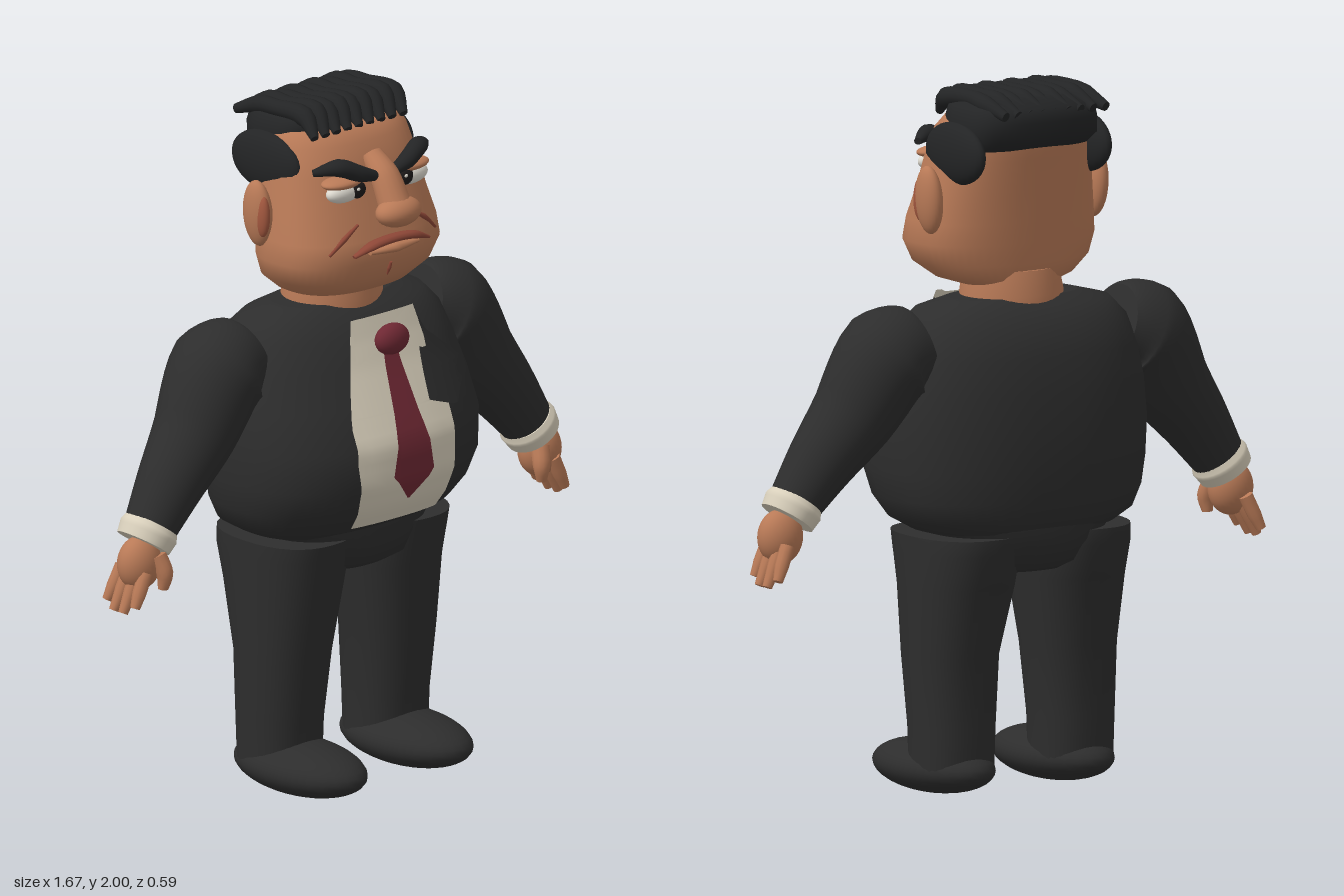
import * as THREE from 'three';

const mat = (name, color, side = THREE.FrontSide) => {
  const m = new THREE.MeshStandardMaterial({ color, side });
  m.name = name;
  return m;
};
const M = {
  suit: mat('charcoal suit', 0x2d2d2d, THREE.DoubleSide),
  skin: mat('tan skin', 0xb97a57),
  hair: mat('black hair', 0x232425),
  shirt: mat('cream shirt', 0xd8cfbb, THREE.DoubleSide),
  tie: mat('maroon tie', 0x6e2833, THREE.DoubleSide),
  lip: mat('red brown lip', 0x8e4737),
  ear: mat('inner ear', 0xa3583f),
  white: mat('eye white', 0xdedad0),
  iris: mat('dark iris', 0x1d1a1a),
};

// Closed skin over a list of rings, with flat end caps
function skinRings(rings) {
  const n = rings[0].length, pos = [], idx = [];
  const add = (p) => pos.push(p.x, p.y, p.z) / 3 - 1;
  rings.forEach((r) => r.forEach(add));
  for (let i = 0; i < rings.length - 1; i++) {
    for (let j = 0; j < n; j++) {
      const a = i * n + j, b = i * n + (j + 1) % n;
      idx.push(a, a + n, b, b, a + n, b + n);
    }
  }
  [rings[0], rings[rings.length - 1]].forEach((r, top) => {
    const mid = r.reduce((s, p) => s.add(p), new THREE.Vector3()).divideScalar(n);
    const o = add(mid), first = o + 1;
    r.forEach(add);
    for (let j = 0; j < n; j++) {
      const a = first + j, b = first + (j + 1) % n;
      if (top) idx.push(o, b, a); else idx.push(o, a, b);
    }
  });
  return finish(pos, idx);
}
function finish(pos, idx) {
  const g = new THREE.BufferGeometry();
  g.setAttribute('position', new THREE.Float32BufferAttribute(pos, 3));
  g.setIndex(idx);
  g.computeVertexNormals();
  return g;
}

// Upright body from rows [y, half width, front z, back z, centre x]
function loft(rows, p = 2.5, n = 48) {
  const bend = (v) => Math.sign(v) * Math.abs(v) ** (2 / p);
  return skinRings(rows.map(([y, rx, zf, zb, cx = 0]) => Array.from({ length: n }, (_, j) => {
    const a = j / n * Math.PI * 2;
    return new THREE.Vector3(cx + rx * bend(Math.cos(a)), y, (zf + zb) / 2 + (zf - zb) / 2 * bend(Math.sin(a)));
  })));
}
// Front z of such a body at (x, y)
function frontZ(rows, x, y, p = 2.5) {
  let i = 0;
  while (i < rows.length - 2 && y > rows[i + 1][0]) i++;
  const t = (y - rows[i][0]) / (rows[i + 1][0] - rows[i][0]);
  const [, rx, zf, zb] = rows[i].map((v, k) => v + (rows[i + 1][k] - v) * t);
  return (zf + zb) / 2 + (zf - zb) / 2 * Math.max(0, 1 - Math.abs(x / rx) ** p) ** (1 / p);
}
// Tapered tube through points; wide scales it along ref
function sweep(points, radii, { wide = 1, ref = [0, 0, 1], n = 16, steps = 16 } = {}) {
  const curve = new THREE.CatmullRomCurve3(points.map((q) => new THREE.Vector3(...q)));
  const up = new THREE.Vector3(...ref), rings = [];
  for (let i = 0; i <= steps; i++) {
    const t = i / steps, f = t * (radii.length - 1), k = Math.min(Math.floor(f), radii.length - 2);
    const r = radii[k] + (radii[k + 1] - radii[k]) * (f - k);
    const c = curve.getPoint(t), T = curve.getTangent(t);
    const side = T.clone().cross(up).normalize(), other = side.clone().cross(T);
    rings.push(Array.from({ length: n }, (_, j) => {
      const a = j / n * Math.PI * 2;
      return c.clone().addScaledVector(side, r * Math.cos(a)).addScaledVector(other, r * wide * Math.sin(a));
    }));
  }
  return skinRings(rings);
}
// Thin cloth panel from rows [y, x0, x1] laid over a body's front
function panel(rows, body, lift) {
  const pos = [], idx = [], w = 8, sub = 4;
  let count = 0;
  for (let i = 0; i < rows.length; i++) {
    for (let s = 0; s < (i < rows.length - 1 ? sub : 1); s++) {
      const [y, x0, x1] = rows[i].map((v, k) => s ? v + (rows[i + 1][k] - v) * s / sub : v);
      for (let j = 0; j <= w; j++) {
        const x = x0 + (x1 - x0) * j / w;
        pos.push(x, y, frontZ(body, x, y) + lift);
      }
      count++;
    }
  }
  for (let i = 0; i < count - 1; i++) {
    for (let j = 0; j < w; j++) {
      const a = i * (w + 1) + j, b = a + w + 1;
      idx.push(a, b, a + 1, a + 1, b, b + 1);
    }
  }
  return finish(pos, idx);
}

const TORSO = [[0.755, 0.3, 0.14, -0.25], [0.79, 0.36, 0.19, -0.28], [0.85, 0.395, 0.235, -0.29],
  [0.93, 0.41, 0.272, -0.3], [1.04, 0.415, 0.272, -0.303], [1.15, 0.4, 0.225, -0.295],
  [1.25, 0.375, 0.18, -0.28], [1.33, 0.345, 0.14, -0.25], [1.38, 0.3, 0.09, -0.2], [1.405, 0.2, 0.05, -0.16]];
const SHIRT = [[0.79, 0.38, 0.202, -0.28], [0.85, 0.4, 0.248, -0.29], [0.93, 0.42, 0.282, -0.3],
  [1.04, 0.42, 0.282, -0.3], [1.15, 0.41, 0.236, -0.29], [1.25, 0.4, 0.194, -0.28],
  [1.33, 0.38, 0.168, -0.25], [1.4, 0.36, 0.15, -0.2]];
const HEAD = [[1.43, 0.12, 0.06, -0.13], [1.455, 0.2, 0.13, -0.155], [1.5, 0.26, 0.172, -0.165],
  [1.56, 0.283, 0.195, -0.17], [1.62, 0.275, 0.188, -0.178], [1.7, 0.26, 0.155, -0.185],
  [1.8, 0.242, 0.13, -0.2], [1.88, 0.225, 0.1, -0.21], [1.92, 0.205, 0.06, -0.205], [1.935, 0.15, 0, -0.15]];

export function createModel() {
  const model = new THREE.Group();
  const part = (name, geo, m) => {
    const mesh = new THREE.Mesh(geo, m);
    mesh.name = name;
    model.add(mesh);
    return mesh;
  };
  const ball = (name, m, [x, y, z], [rx, ry, rz]) => {
    const b = part(name, new THREE.SphereGeometry(1, 28, 18), m);
    b.position.set(x, y, z);
    b.scale.set(rx, ry, rz);
    return b;
  };
  const onFace = (x, y, lift) => [x, y, frontZ(HEAD, x, y) + lift];

  // Body and clothes
  part('jacket', loft(TORSO), M.suit);
  part('hips', loft([[0.635, 0.14, 0.1, -0.19], [0.66, 0.2, 0.14, -0.23], [0.72, 0.24, 0.16, -0.26], [0.78, 0.3, 0.16, -0.26]]), M.suit);
  part('shirtFront', panel([[0.795, -0.155, 0.165], [0.9, -0.175, 0.17], [1.0, -0.19, 0.17], [1.1, -0.19, 0.172],
    [1.125, -0.185, 0.172], [1.13, -0.184, 0.1], [1.2, -0.165, 0.105], [1.28, -0.14, 0.115], [1.385, -0.115, 0.115]], SHIRT, 0), M.shirt);
  part('lapel', panel([[1.1, 0.19, 0.21], [1.13, 0.1, 0.235], [1.155, 0.1, 0.262], [1.18, 0.103, 0.232],
    [1.21, 0.106, 0.275], [1.31, 0.118, 0.15], [1.37, 0.115, 0.12]], SHIRT, 0.004), M.suit);
  part('tie', panel([[0.87, -0.003, 0.003], [0.95, -0.075, 0.075], [1.12, -0.045, 0.045], [1.29, -0.025, 0.025]], SHIRT, 0.007), M.tie);
  ball('tieKnot', M.tie, [0, 1.32, 0.195], [0.058, 0.045, 0.035]);
  for (const s of [-1, 1]) {
    part('collarWing', panel([[1.27, s * 0.115, s * 0.13], [1.3, s * 0.04, s * 0.13], [1.35, s * 0.01, s * 0.12], [1.39, s * 0.09, s * 0.11]], SHIRT, 0.012), M.shirt);
  }

  // Limbs
  for (const s of [-1, 1]) {
    part('trouserLeg', loft([[0.07, 0.115, 0.06, -0.16, s * 0.2], [0.2, 0.118, 0.065, -0.165, s * 0.2], [0.4, 0.13, 0.09, -0.17, s * 0.198],
      [0.6, 0.15, 0.12, -0.22, s * 0.185], [0.7, 0.155, 0.145, -0.25, s * 0.185], [0.745, 0.155, 0.155, -0.25, s * 0.185]], 2.4, 32), M.suit);
    ball('shoe', M.suit, [s * 0.2, 0.075, 0.037], [0.135, 0.075, 0.235]);
    part('sleeve', sweep([[s * 0.33, 1.285, -0.065], [s * 0.42, 1.255, -0.06], [s * 0.53, 1.1, -0.045], [s * 0.625, 0.985, -0.035], [s * 0.715, 0.865, -0.027]],
      [0.115, 0.15, 0.122, 0.1, 0.077], { wide: 0.95, n: 32, steps: 24 }), M.suit);
    part('shirtCuff', sweep([[s * 0.705, 0.877, -0.027], [s * 0.717, 0.86, -0.027], [s * 0.737, 0.83, -0.027]], [0.078, 0.086, 0.08], { n: 28, steps: 8 }), M.shirt);
    ball('palm', M.skin, [s * 0.757, 0.778, -0.022], [0.068, 0.078, 0.055]);
    for (let i = 0; i < 4; i++) {
      const z = 0.018 - i * 0.032, tip = i === 0 || i === 3 ? 0.02 : 0;
      part('finger', sweep([[s * 0.77, 0.76, z], [s * 0.795, 0.705, z * 1.1], [s * (0.823 - tip / 2), 0.645 + tip, z * 1.2]], [0.021, 0.02, 0.014], { n: 10, steps: 6 }), M.skin);
    }
    part('thumb', sweep([[s * 0.725, 0.8, 0.015], [s * 0.713, 0.75, 0.035], [s * 0.716, 0.705, 0.032]], [0.028, 0.025, 0.015], { n: 12, steps: 8 }), M.skin);
  }

  // Head and neck
  part('neck', loft([[1.36, 0.15, 0.08, -0.185], [1.41, 0.152, 0.08, -0.185], [1.48, 0.14, 0.07, -0.17]], 2, 32), M.skin);
  part('head', loft(HEAD), M.skin);
  part('noseBridge', sweep([[0, 1.84, 0.11], [0, 1.79, 0.165], [0, 1.71, 0.21]], [0.03, 0.04, 0.045], { ref: [1, 0, 0], wide: 1.1 }), M.skin);
  ball('noseTip', M.skin, [0, 1.7, 0.222], [0.075, 0.043, 0.05]);

  // Mouth and chin
  const lipPath = [[-0.14, 1.588], [-0.08, 1.61], [0, 1.618], [0.08, 1.61], [0.14, 1.588]];
  part('upperLip', sweep(lipPath.map(([x, y]) => onFace(x, y, 0.014)), [0.005, 0.012, 0.012, 0.012, 0.005], { wide: 1.6, n: 10 }), M.lip);
  part('lowerLip', sweep([-0.09, 0, 0.09].map((x) => onFace(x, 1.592, 0.016)), [0.006, 0.014, 0.006], { wide: 1.4, n: 10 }), M.skin);
  part('chinCrease', sweep([1.545, 1.525, 1.505].map((y) => onFace(0, y, 0.002)), [0.004, 0.006, 0.002], { ref: [1, 0, 0], n: 8 }), M.lip);

  // Paired face features
  for (const s of [-1, 1]) {
    part('cheekCrease', sweep([[0.1, 1.668], [0.15, 1.638], [0.2, 1.595]].map(([x, y]) => onFace(s * x, y, 0.002)), [0.004, 0.008, 0.004], { n: 8 }), M.lip);
    ball('eyeball', M.white, [s * 0.125, 1.763, 0.133], [0.062, 0.03, 0.03]);
    ball('iris', M.iris, [s * 0.09, 1.766, 0.154], [0.027, 0.024, 0.012]);
    ball('eyeGlint', M.white, [s * 0.09 - 0.008, 1.772, 0.165], [0.006, 0.005, 0.003]);
    ball('upperLid', M.skin, [s * 0.125, 1.79, 0.125], [0.07, 0.018, 0.042]);
    part('eyebrow', sweep([[s * 0.03, 1.797, 0.165], [s * 0.09, 1.815, 0.158], [s * 0.15, 1.84, 0.14], [s * 0.212, 1.828, 0.1]],
      [0.014, 0.024, 0.026, 0.01], { wide: 1.1 }), M.hair);
    const ear = ball('ear', M.skin, [s * 0.278, 1.69, -0.055], [0.033, 0.097, 0.05]);
    ear.rotation.z = -s * 0.06;
    ball('innerEar', M.ear, [s * 0.287, 1.69, -0.025], [0.018, 0.062, 0.024]);
    ball('sideHair', M.hair, [s * 0.212, 1.82, -0.09], [0.04, 0.088, 0.138]);
  }

  // Hair: a cap round the back with ridged strands combed forward
  part('hairCap', loft([[1.83, 0.2, 0, -0.2], [1.86, 0.214, 0.01, -0.238], [1.91, 0.214, 0.045, -0.245],
    [1.95, 0.2, 0.045, -0.24], [1.975, 0.16, 0.01, -0.19]], 3), M.hair);
  for (let i = 0; i < 9; i++) {
    const x = -0.165 + i * 0.042, lift = i % 2 * 0.006;
    part('hairStrand', sweep([[x - 0.03, 1.935, -0.235], [x - 0.012, 1.962 + lift, -0.16], [x - 0.014, 1.97, -0.08], [x + 0.004, 1.962 + lift, 0.01], [x - 0.012, 1.915, 0.07]],
      [0.014, 0.026, 0.024, 0.029, 0.012], { ref: [0, 1, 0], n: 12 }), M.hair);
  }
  return model;
}
